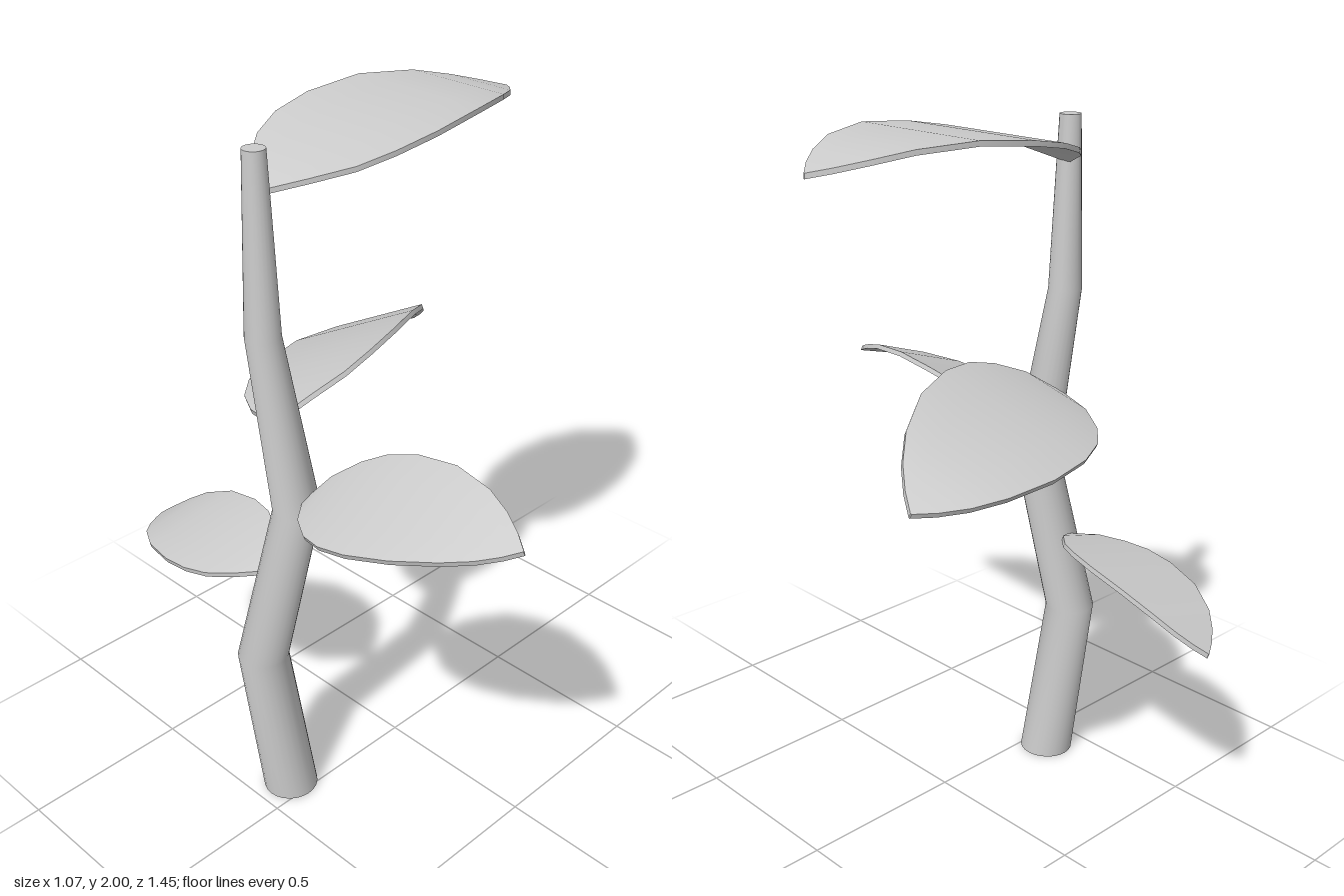
import * as THREE from 'three';
import { toCreasedNormals } from 'three/addons/utils/BufferGeometryUtils.js';

const material = new THREE.MeshStandardMaterial({ color: 0xcccccc });

// Stem rings: x, y, z, radius
const RINGS = [
  [-0.39, 0, -0.06, 0.08],
  [-0.44, 0.5, -0.095, 0.073],
  [-0.375, 1, 0, 0.066],
  [-0.408, 1.5, -0.065, 0.048],
  [-0.405, 1.985, -0.068, 0.03],
];

// Leaf stations for a leaf of unit chord: along, half width, arch height
const STATIONS = [
  [0, 0.015, 0],
  [0.07, 0.117, 0.033],
  [0.17, 0.198, 0.055],
  [0.28, 0.242, 0.076],
  [0.42, 0.258, 0.09],
  [0.61, 0.239, 0.094],
  [0.78, 0.18, 0.071],
  [0.88, 0.119, 0.042],
  [0.95, 0.058, 0.018],
  [1, 0.002, 0],
];
const THICKNESS = 0.014;

// A cylinder whose rings are moved onto the crooked stem line
function stemGeometry() {
  const n = RINGS.length - 1;
  const geo = new THREE.CylinderGeometry(1, 1, 1, 24, n);
  const p = geo.attributes.position;
  for (let i = 0; i < p.count; i++) {
    const [x, y, z, r] = RINGS[Math.round((p.getY(i) + 0.5) * n)];
    p.setXYZ(i, x + p.getX(i) * r, y, z + p.getZ(i) * r);
  }
  return toCreasedNormals(geo, 0.7);
}

// A thin slab shaped to the leaf outline and arched along its length
function leafGeometry(length) {
  const n = STATIONS.length - 1;
  const geo = new THREE.BoxGeometry(1, 1, 1, n, 1, 4);
  const p = geo.attributes.position;
  for (let i = 0; i < p.count; i++) {
    const [u, half, arch] = STATIONS[Math.round((p.getX(i) + 0.5) * n)];
    p.setXYZ(i, u * length, arch * length + p.getY(i) * THICKNESS, p.getZ(i) * 2 * half * length);
  }
  geo.computeVertexNormals();
  return geo;
}

// Leaf from base to tip; side is the rough direction across the blade
function makeLeaf(name, base, tip, side) {
  const from = new THREE.Vector3(...base);
  const along = new THREE.Vector3(...tip).sub(from);
  const length = along.length();
  along.normalize();
  const up = new THREE.Vector3(...side).cross(along).normalize();
  if (up.y < 0) up.negate();
  const across = new THREE.Vector3().crossVectors(along, up);
  const leaf = new THREE.Mesh(leafGeometry(length), material);
  leaf.name = name;
  leaf.quaternion.setFromRotationMatrix(new THREE.Matrix4().makeBasis(along, up, across));
  leaf.position.copy(from);
  return leaf;
}

export function createModel() {
  const group = new THREE.Group();
  group.name = 'plant';

  const stem = new THREE.Mesh(stemGeometry(), material);
  stem.name = 'stem';
  group.add(stem);

  group.add(
    makeLeaf('topLeaf', [-0.377, 1.868, -0.085], [0.522, 1.93, -0.085], [0, 0, 1]),
    makeLeaf('sideLeaf', [-0.35, 1.21, -0.11], [0.472, 1.155, -0.385], [0.06, 0.1, 0.21]),
    makeLeaf('frontLeaf', [-0.39, 1.05, 0.05], [-0.305, 1.17, 0.72], [0.155, 0.055, -0.03]),
    makeLeaf('backLeaf', [-0.4, 0.75, -0.12], [-0.3, 0.62, -0.725], [0.155, 0.04, 0.03]),
  );
  return group;
}
